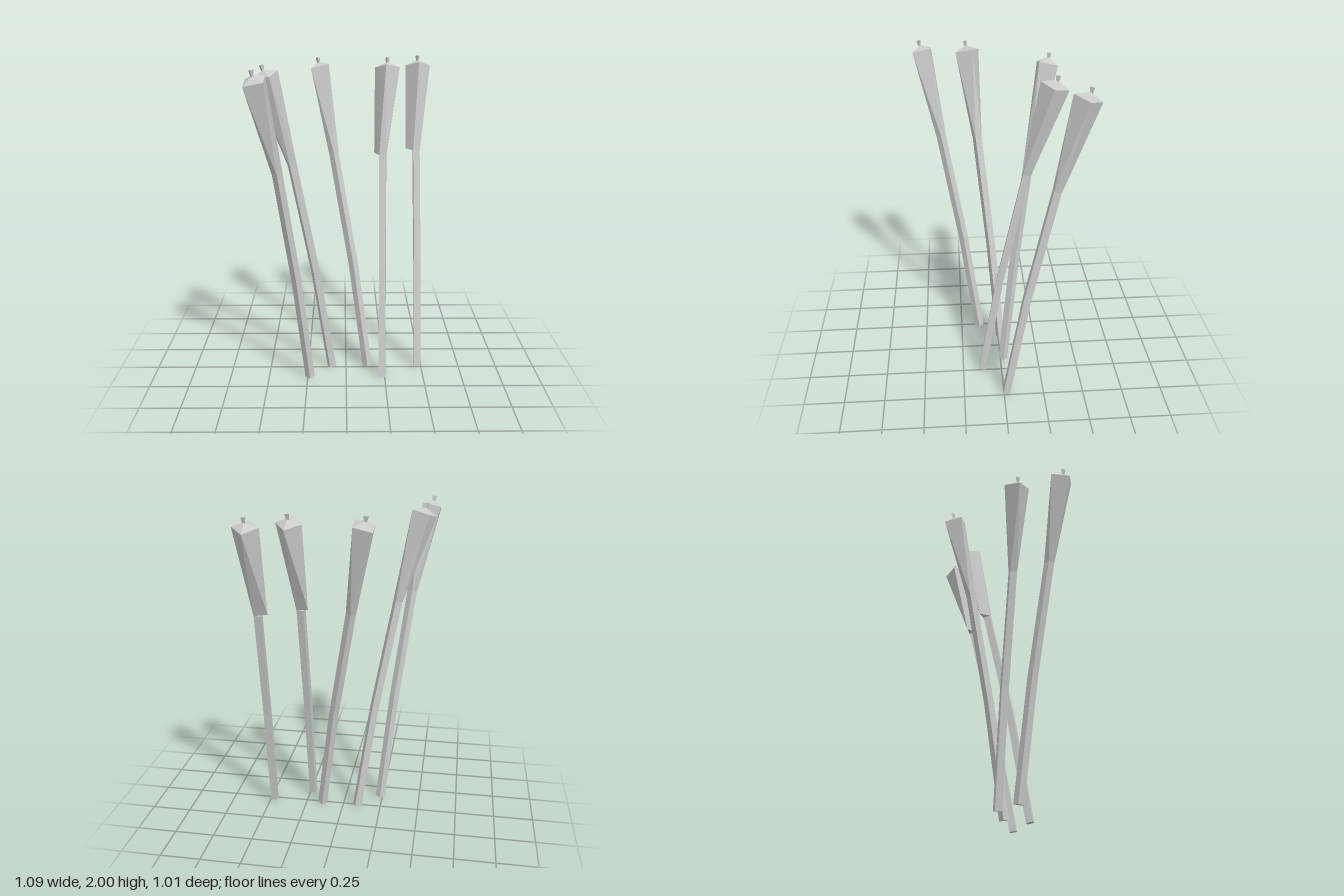
import * as THREE from 'three';
import { toCreasedNormals } from 'three/addons/utils/BufferGeometryUtils.js';

const flat = new THREE.MeshStandardMaterial({ color: 0xcccccc, flatShading: true, side: THREE.DoubleSide });
const smooth = new THREE.MeshStandardMaterial({ color: 0xcccccc, side: THREE.DoubleSide });

// [x, z] of each reed at its foot, at the neck and at the head's rim;
// turn of the head's square section; optional corner that juts out at the neck
const REEDS = [
  { foot: [0.476, -0.015], neck: [0.455, -0.29], rim: [0.465, -0.43], turn: 0, jut: [0.39, -0.32] },
  { foot: [0.233, 0.125], neck: [0.232, -0.145], rim: [0.26, -0.285], turn: 0.15, jut: [0.18, -0.19] },
  { foot: [0.142, -0.017], neck: [-0.075, -0.195], rim: [-0.16, -0.297], turn: Math.PI / 4 },
  { foot: [-0.095, -0.015], neck: [-0.32, 0.115], rim: [-0.46, 0.165], turn: -0.4 },
  { foot: [-0.235, 0.125], neck: [-0.39, 0.345], rim: [-0.49, 0.445], turn: Math.PI / 4 },
];
const NECK_Y = 1.41, RIM_Y = 1.94, STEM_R = 0.03, HEAD_R = 0.078;

// Square ring of corners, tipped so it sits across the leaning axis
function ring([x, z], y, radius, turn, lean, slope) {
  return [0, 1, 2, 3].map((i) => {
    const a = turn + (i * Math.PI) / 2;
    const dx = radius * Math.cos(a), dz = radius * Math.sin(a);
    return new THREE.Vector3(x + dx, y - slope * (dx * lean.x + dz * lean.y), z + dz);
  });
}

// Skin a stack of rings and close both ends with fans
function loft(rings, bottom, top) {
  const pos = [];
  const tri = (...pts) => pts.forEach((p) => pos.push(p.x, p.y, p.z));
  const first = rings[0], last = rings[rings.length - 1];
  for (let i = 0; i < 4; i++) {
    const j = (i + 1) % 4;
    for (let k = 0; k + 1 < rings.length; k++) {
      const lo = rings[k], hi = rings[k + 1];
      tri(lo[i], hi[i], hi[j]);
      tri(lo[i], hi[j], lo[j]);
    }
    tri(top, last[j], last[i]);
    tri(bottom, first[i], first[j]);
  }
  const geo = new THREE.BufferGeometry();
  geo.setAttribute('position', new THREE.Float32BufferAttribute(pos, 3));
  geo.computeVertexNormals();
  return geo;
}

function part(name, geometry, material) {
  const mesh = new THREE.Mesh(geometry, material);
  mesh.name = name;
  return mesh;
}

function makeReed({ foot, neck, rim, turn, jut }) {
  const reed = new THREE.Group();
  reed.name = 'reed';
  const lean = new THREE.Vector2(rim[0] - foot[0], rim[1] - foot[1]).normalize();
  const stemTurn = turn + 0.75;
  const bend = foot.map((v, i) => v + (neck[i] - v) * 0.44);

  // Stem: square section with a slight bend halfway up
  const stemRings = [
    ring(foot, 0.006, STEM_R, stemTurn, lean, 0.17),
    ring(bend, 0.71, STEM_R, stemTurn, lean, 0.2),
    ring(neck, NECK_Y, STEM_R, stemTurn, lean, 0.25),
  ];
  reed.add(part('stem', loft(stemRings,
    new THREE.Vector3(foot[0], 0.006, foot[1]),
    new THREE.Vector3(neck[0], NECK_Y, neck[1])), flat));

  // Head: twists and widens from the neck up to a low pointed cap
  const neckRing = ring(neck, NECK_Y, STEM_R, stemTurn, lean, 0.25);
  if (jut) neckRing[2].set(jut[0], 1.42, jut[1]);
  const rimRing = ring(rim, RIM_Y, HEAD_R, turn, lean, 0.32);
  const apex = new THREE.Vector3(rim[0] + lean.x * 0.01, 1.972, rim[1] + lean.y * 0.01);
  const head = loft([neckRing, rimRing], new THREE.Vector3(neck[0], NECK_Y, neck[1]), apex);
  reed.add(part('head', toCreasedNormals(head, 0.6), smooth));

  // Tip: small three-sided stub, flaring and leaning with the reed
  const tip = part('tip', new THREE.CylinderGeometry(0.016, 0.008, 0.045, 3), flat);
  tip.position.set(apex.x + lean.x * 0.005, 1.976, apex.z + lean.y * 0.005);
  tip.rotation.set(lean.y * 0.2, 0, -lean.x * 0.2);
  reed.add(tip);
  return reed;
}

export function createModel() {
  const model = new THREE.Group();
  model.name = 'reeds';
  REEDS.forEach((r) => model.add(makeReed(r)));
  return model;
}
